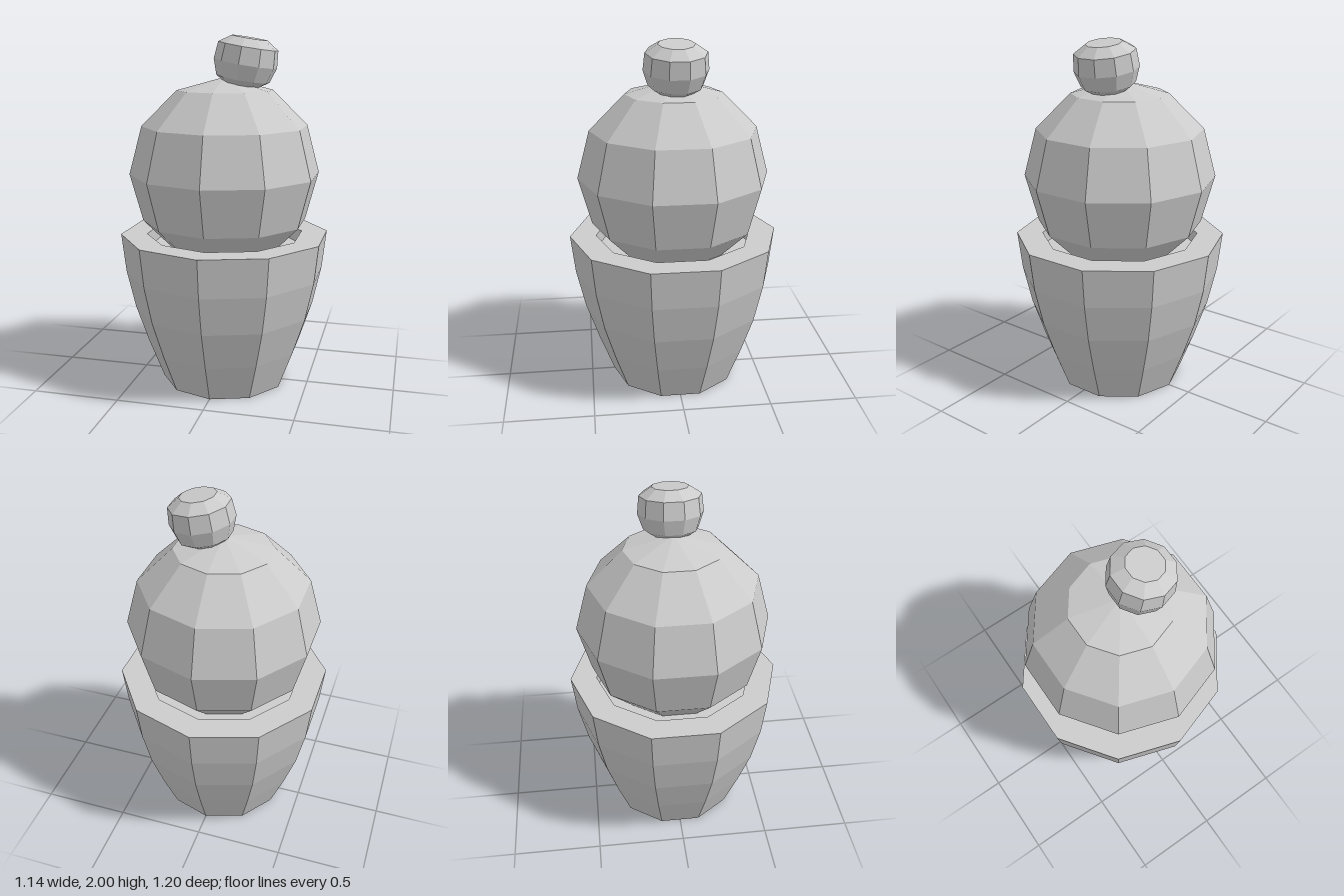
import * as THREE from 'three';

const SIDES = 10;

export function createModel() {
  const model = new THREE.Group();
  const material = new THREE.MeshStandardMaterial({ color: 0xcccccc, flatShading: true });

  const add = (name, geometry, x, y) => {
    const mesh = new THREE.Mesh(geometry, material);
    mesh.name = name;
    mesh.position.set(x, y, 0);
    model.add(mesh);
    return mesh;
  };
  // Faceted solid from [radius, height] pairs, listed bottom to top
  const turned = (profile) =>
    new THREE.LatheGeometry(profile.map(([r, y]) => new THREE.Vector2(r, y)), SIDES);

  // Flared cup with a broad flat rim and a well for the ball
  add('cup', turned([
    [0, 0], [0.365, 0], [0.45, 0.22], [0.525, 0.44], [0.575, 0.66], [0.6, 0.88],
    [0.45, 0.88], [0.45, 0.8], [0, 0.8],
  ]), 0, 0);

  // Large ball resting in the cup, corners turned to face front and back
  const ball = new THREE.SphereGeometry(0.543, SIDES, 6);
  ball.rotateY(Math.PI / 2);
  add('ball', ball, 0, 1.23);

  // Small flattened knob, off centre and leaning outwards
  const knob = add('topKnob', turned([
    [0, -0.125], [0.09, -0.125], [0.15, -0.085], [0.178, 0], [0.168, 0.095], [0.1, 0.14], [0, 0.14],
  ]), 0.117, 1.848);
  knob.rotation.z = -0.165;

  return model;
}
